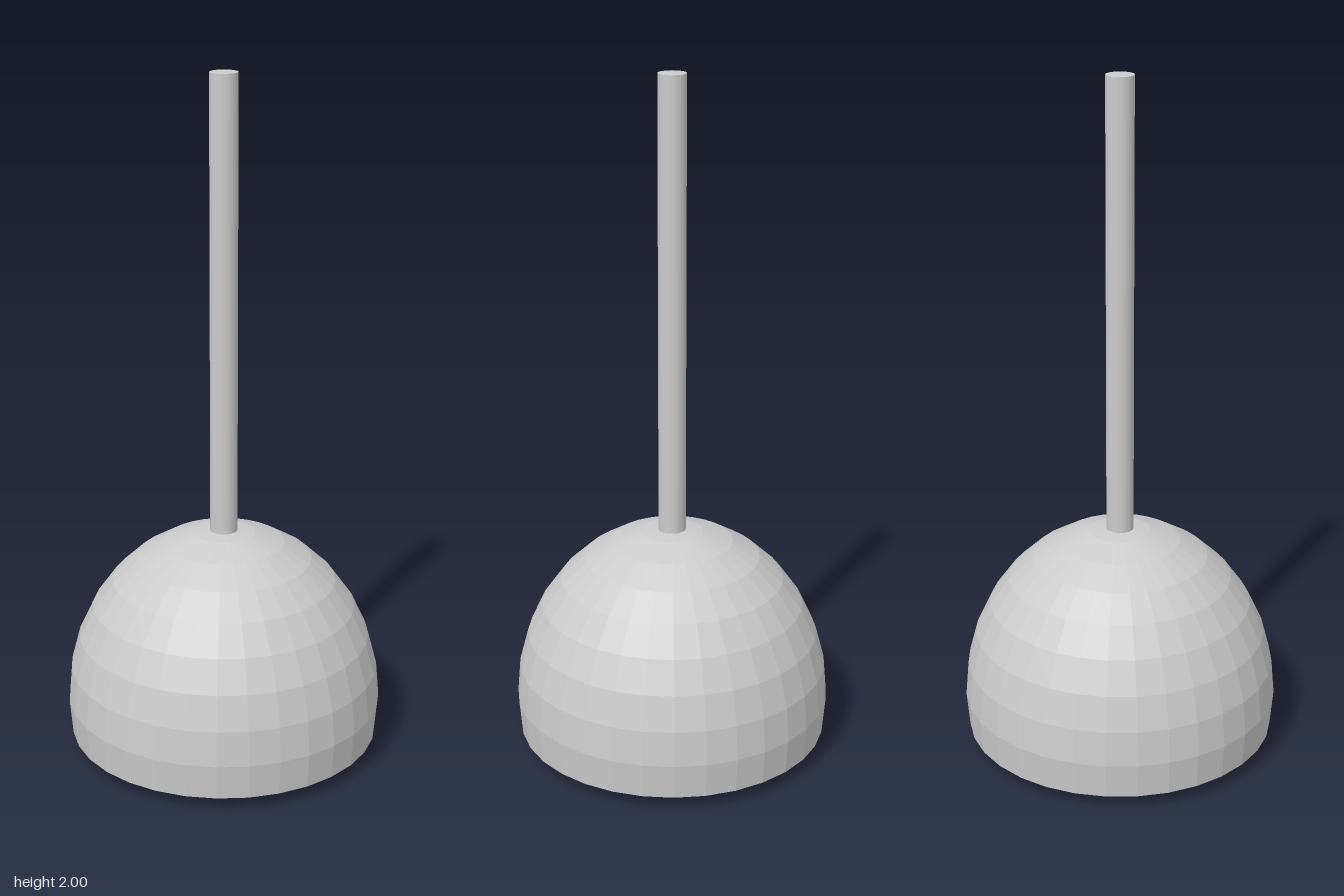
import * as THREE from 'three';

const SIDES = 32;
const RINGS = 16;

// Points of an elliptical dome from its crown down past the equator to its rim
function domeProfile(radius, height, centreY) {
  const points = [];
  for (let i = 0; i <= RINGS / 2 + 1; i++) {
    const a = (i / RINGS) * Math.PI;
    points.push(new THREE.Vector2(radius * Math.sin(a), centreY + height * Math.cos(a)));
  }
  return points;
}

export function createModel() {
  const group = new THREE.Group();
  const smooth = new THREE.MeshStandardMaterial({ color: 0xcccccc });
  const faceted = new THREE.MeshStandardMaterial({ color: 0xcccccc, flatShading: true });

  function add(name, geometry, material) {
    const mesh = new THREE.Mesh(geometry, material);
    mesh.name = name;
    group.add(mesh);
    return mesh;
  }

  // Thick dome shade: down the inner wall, across the rim, up the outer wall
  const inner = domeProfile(0.413, 0.475, 0.15);
  const outer = domeProfile(0.465, 0.53, 0.143).reverse();
  add('shade', new THREE.LatheGeometry([...inner, ...outer], SIDES), faceted);

  // Hanging rod, its foot sunk into the crown of the shade
  const rodBottom = 0.65;
  const rod = add('rod', new THREE.CylinderGeometry(0.04, 0.04, 2 - rodBottom, SIDES), smooth);
  rod.position.y = (2 + rodBottom) / 2;

  // Bulb: round glass tapering into a straight neck up to the crown
  const r = 0.142;
  const bulb = [];
  for (let i = 0; i <= 10; i++) {
    const a = (i / 16) * Math.PI;
    bulb.push(new THREE.Vector2(r * Math.sin(a), r - r * Math.cos(a)));
  }
  bulb.push(
    new THREE.Vector2(0.1, 0.25),
    new THREE.Vector2(0.072, 0.3),
    new THREE.Vector2(0.07, 0.63)
  );
  add('bulb', new THREE.LatheGeometry(bulb, SIDES), faceted);

  return group;
}
